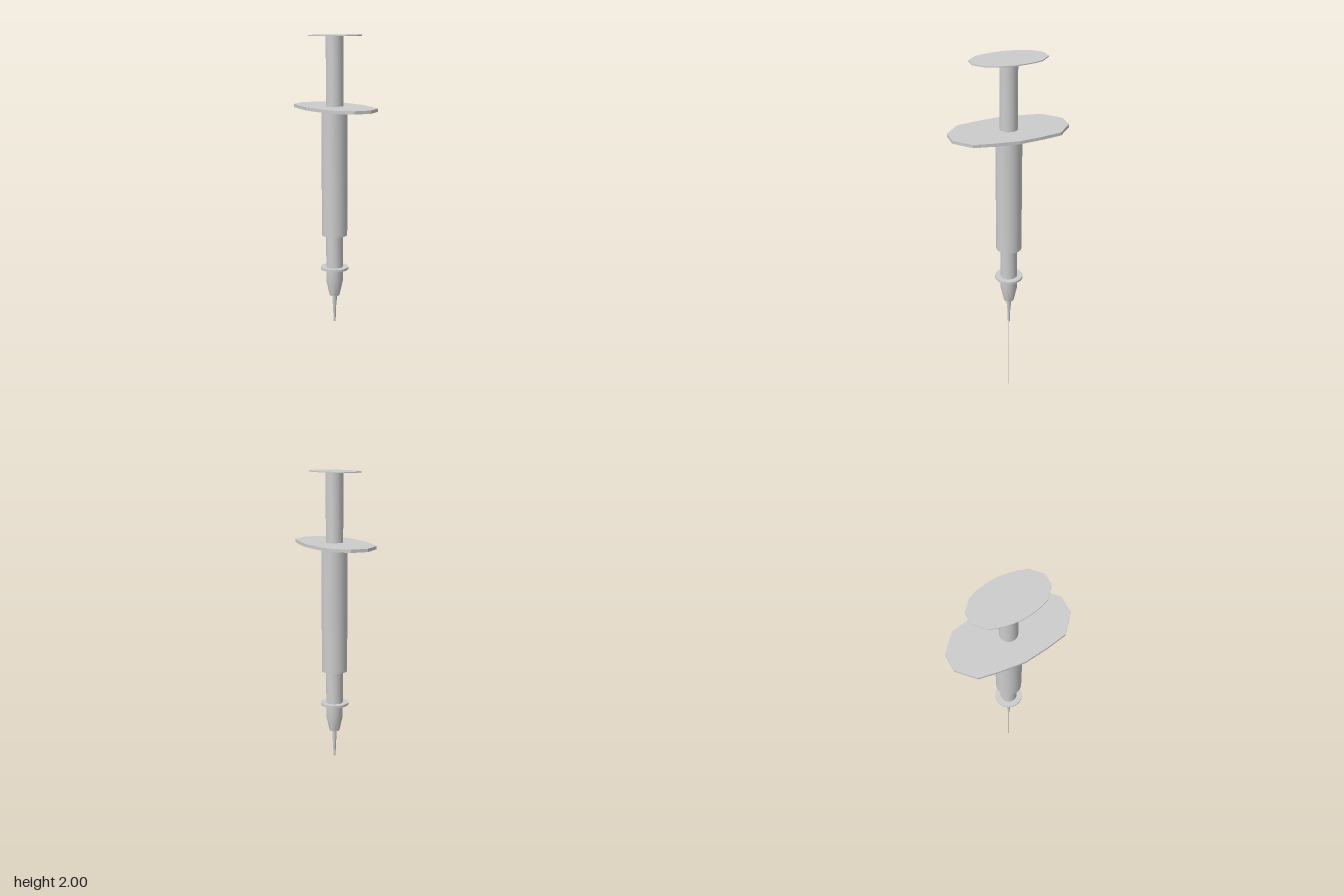
import * as THREE from 'three';
import { toCreasedNormals } from 'three/addons/utils/BufferGeometryUtils.js';

const material = new THREE.MeshStandardMaterial({ color: 0xcccccc });

function addMesh(group, name, geometry) {
  const mesh = new THREE.Mesh(geometry, material);
  mesh.name = name;
  group.add(mesh);
}

// Turned part: profile of [radius, y] from bottom to top
function turned(group, name, profile, sides = 24) {
  const points = profile.map(([r, y]) => new THREE.Vector2(r, y));
  addMesh(group, name, toCreasedNormals(new THREE.LatheGeometry(points, sides), 0.6));
}

// Flat plate: one quadrant of [x, z] from the x axis to the z end, mirrored four ways
function plate(group, name, quadrant, bottom, top) {
  const half = [...quadrant, ...quadrant.map(([x, z]) => [-x, z]).reverse()];
  const outline = [...half, ...half.slice(1, -1).map(([x, z]) => [x, -z]).reverse()];
  const shape = new THREE.Shape(outline.map(([x, z]) => new THREE.Vector2(x, z)));
  const geometry = new THREE.ExtrudeGeometry(shape, { depth: top - bottom, bevelEnabled: false });
  geometry.rotateX(-Math.PI / 2).translate(0, bottom, 0);
  addMesh(group, name, geometry);
}

export function createModel() {
  const group = new THREE.Group();
  group.name = 'syringe';

  // Plunger: thumb rest and rod
  plate(group, 'thumbRest',
    [[0.113, 0], [0.107, 0.055], [0.098, 0.1], [0.082, 0.142], [0.03, 0.191]], 1.995, 2);
  turned(group, 'plungerRod', [[0.045, 1.63], [0.045, 1.996]]);

  // Barrel with finger flange
  plate(group, 'fingerFlange',
    [[0.162, 0], [0.149, 0.12], [0.13, 0.226], [0.045, 0.305]], 1.626, 1.642);
  turned(group, 'barrel', [[0, 0.957], [0.068, 0.957], [0.068, 1.627]]);

  // Neck, collar and tapered hub
  turned(group, 'neck', [[0.045, 0.77], [0.045, 0.958]]);
  turned(group, 'collar', [[0, 0.769], [0.075, 0.769], [0.075, 0.781], [0, 0.781]]);
  turned(group, 'hub', [[0, 0.62], [0.027, 0.62], [0.045, 0.7], [0.045, 0.77]]);

  // Needle holder and hair-thin needle
  turned(group, 'needleHolder',
    [[0, 0.47], [0.006, 0.47], [0.008, 0.545], [0.012, 0.59], [0.012, 0.621]], 16);
  turned(group, 'needle', [[0, 0], [0.001, 0.01], [0.001, 0.471]], 8);

  return group;
}
